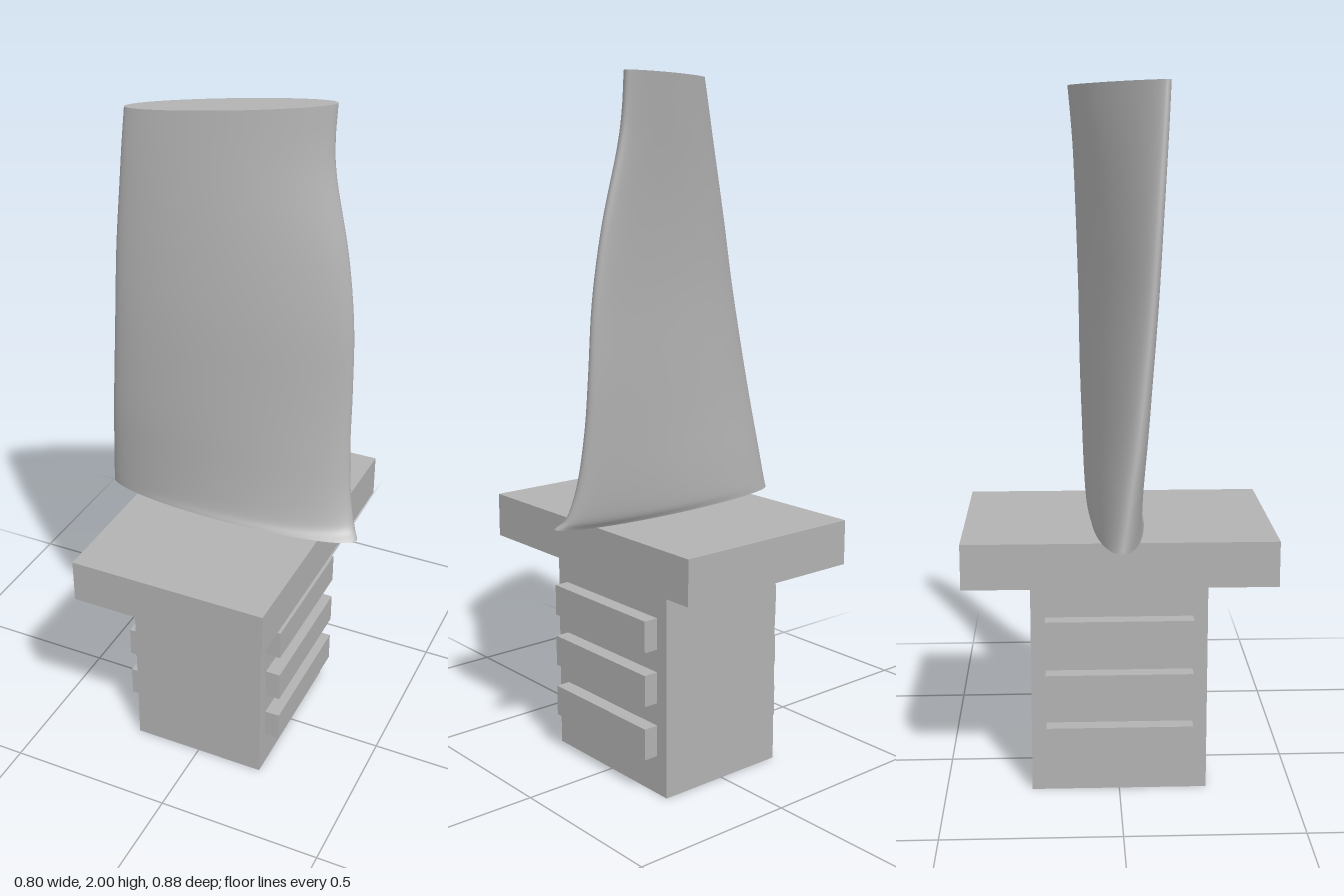
import * as THREE from 'three';

const metal = new THREE.MeshStandardMaterial({ color: 0xb2b2b2 });
metal.name = 'grey metal';

function box(name, w, h, d, x, y, z) {
  const mesh = new THREE.Mesh(new THREE.BoxGeometry(w, h, d), metal);
  mesh.name = name;
  mesh.position.set(x, y, z);
  return mesh;
}

// Blade edges from root to tip: [y, left-hand x, z, right-hand x, z]
const edges = [
  [0.765, -0.4, 0, 0.397, 0],
  [0.8, -0.395, 0.007, 0.375, -0.028],
  [0.9, -0.383, 0.022, 0.352, -0.05],
  [1.05, -0.365, 0.045, 0.338, -0.068],
  [1.2, -0.346, 0.063, 0.333, -0.08],
  [1.4, -0.322, 0.084, 0.324, -0.089],
  [1.6, -0.3, 0.1, 0.296, -0.099],
  [1.8, -0.272, 0.115, 0.25, -0.11],
  [1.9, -0.258, 0.122, 0.238, -0.118],
  [2.0, -0.243, 0.128, 0.238, -0.128],
];

// Elliptical sections lofted between the two edge curves
function createBlade() {
  const spline = (ix, iz) => new THREE.CatmullRomCurve3(
    edges.map((e) => new THREE.Vector3(e[ix], e[0], e[iz])), false, 'catmullrom', 0.5);
  const edgeA = spline(1, 2), edgeB = spline(3, 4);
  const rows = 54, sides = 72;
  const positions = [], index = [];

  for (let i = 0; i <= rows; i++) {
    const a = edgeA.getPoint(i / rows), b = edgeB.getPoint(i / rows);
    const mid = a.clone().add(b).multiplyScalar(0.5);
    const chord = b.clone().sub(a).multiplyScalar(0.5);
    const f = (a.y - 0.765) / 1.235;
    const half = 0.077 - 0.04 * f + 0.012 * f * f;
    const normal = new THREE.Vector3(-chord.z, 0, chord.x).normalize().multiplyScalar(half);
    for (let j = 0; j < sides; j++) {
      const t = (j / sides) * Math.PI * 2;
      const p = mid.clone().addScaledVector(chord, Math.cos(t)).addScaledVector(normal, Math.sin(t));
      positions.push(p.x, p.y, p.z);
    }
  }
  for (let i = 0; i < rows; i++) {
    for (let j = 0; j < sides; j++) {
      const k = (j + 1) % sides;
      const a = i * sides + j, b = i * sides + k;
      index.push(a, a + sides, b, b, a + sides, b + sides);
    }
  }

  // Flat end caps with their own vertices keep the rims sharp
  for (const row of [0, rows]) {
    const start = positions.length / 3;
    positions.push(...positions.slice(row * sides * 3, (row + 1) * sides * 3));
    for (let j = 1; j < sides - 1; j++) {
      if (row) index.push(start, start + j + 1, start + j);
      else index.push(start, start + j, start + j + 1);
    }
  }

  const geometry = new THREE.BufferGeometry();
  geometry.setAttribute('position', new THREE.Float32BufferAttribute(positions, 3));
  geometry.setIndex(index);
  geometry.computeVertexNormals();
  const blade = new THREE.Mesh(geometry, metal);
  blade.name = 'twistedBlade';
  return blade;
}

export function createModel() {
  const model = new THREE.Group();
  model.name = 'turbineBlade';

  // Root block and platform
  model.add(box('rootBlock', 0.416, 0.635, 0.504, 0, 0.3175, 0));
  model.add(box('platform', 0.588, 0.13, 0.882, 0, 0.7, 0));

  // Three retaining ribs on each side of the root
  for (const side of [-1, 1]) {
    for (let i = 0; i < 3; i++) {
      model.add(box('retainingRib', 0.06, 0.092, 0.42, side * 0.222, 0.16 + i * 0.159, 0));
    }
  }

  model.add(createBlade());
  return model;
}
